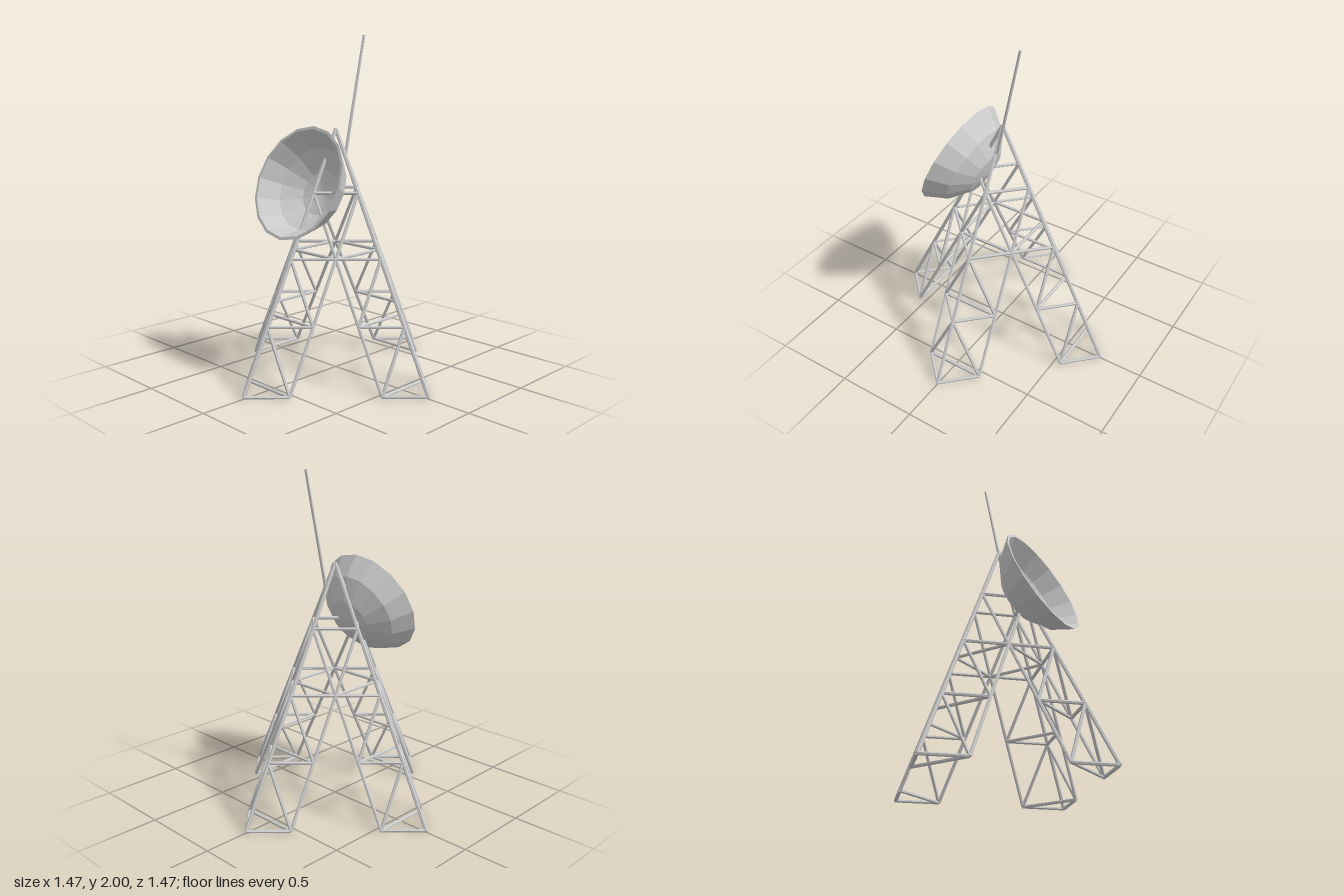
import * as THREE from 'three';

const grey = new THREE.MeshStandardMaterial({ color: 0xcccccc, flatShading: true });
const U = 0.1815;   // lattice spacing
const H = 0.3625;   // storey height
const Y0 = 0.01;    // centre height of the lowest bars
const R = 0.01;     // bar radius

// Lattice node: x and z in spacings, y in storeys
const node = (x, storey, z) => new THREE.Vector3(x * U, Y0 + storey * H, z * U);

// Round bar between two points
function bar(a, b, name, r0 = R, r1 = r0) {
  const dir = b.clone().sub(a);
  const mesh = new THREE.Mesh(new THREE.CylinderGeometry(r1, r0, dir.length(), 6), grey);
  mesh.position.copy(a).add(b).multiplyScalar(0.5);
  mesh.quaternion.setFromUnitVectors(new THREE.Vector3(0, 1, 0), dir.normalize());
  mesh.name = name;
  return mesh;
}

// One leaning leg of triangular section, towards +x
function createLeg() {
  const leg = new THREE.Group();
  leg.name = 'leg';
  leg.add(bar(node(4, 0, 0), node(0, 4, 0), 'outerChord', R * 1.15));
  for (const s of [-1, 1]) {
    leg.add(bar(node(3, 0, s), node(0, 3, s), 'innerChord'));
    for (let i = 0; i < 3; i++) {
      leg.add(bar(node(4 - i, i, 0), node(3 - i, i, s), 'sideBar'));
      if (i < 2) leg.add(bar(node(3 - i, i, s), node(3 - i, i + 1, 0), 'diagonalBrace'));
    }
  }
  for (let i = 0; i < 3; i++) leg.add(bar(node(3 - i, i, -1), node(3 - i, i, 1), 'crossBar'));
  // One side of the square ring below the peak
  leg.add(bar(node(1, 3, 0), node(0, 3, 1), 'topRingBar'));
  return leg;
}

// Faceted bowl: a shallow spherical cap with a flat rim
function createDish() {
  const cap = (radius, depth) => {
    const sphere = (radius * radius + depth * depth) / (2 * depth);
    const full = Math.asin(radius / sphere);
    return [0, 1, 2, 3].map((i) => {
      const t = (full * i) / 3;
      return new THREE.Vector2(sphere * Math.sin(t), sphere * (1 - Math.cos(t)) - depth);
    });
  };
  const profile = [...cap(0.34, 0.235), ...cap(0.323, 0.226).reverse()];
  const dish = new THREE.Mesh(new THREE.LatheGeometry(profile, 16), grey);
  dish.name = 'dish';
  dish.position.set(0, 1.172, 0.311);
  dish.rotation.x = THREE.MathUtils.degToRad(67);
  return dish;
}

export function createModel() {
  const model = new THREE.Group();
  model.name = 'dishTower';

  const tower = new THREE.Group();
  tower.name = 'tower';
  for (let i = 0; i < 4; i++) {
    const leg = createLeg();
    leg.rotation.y = (i * Math.PI) / 2;
    tower.add(leg);
  }
  model.add(tower, createDish());

  // Whip aerial leaning backwards from near the peak
  model.add(bar(new THREE.Vector3(0.07, 1.31, -0.01), new THREE.Vector3(0.076, 2, -0.157), 'aerial', 0.01, 0.008));
  return model;
}
